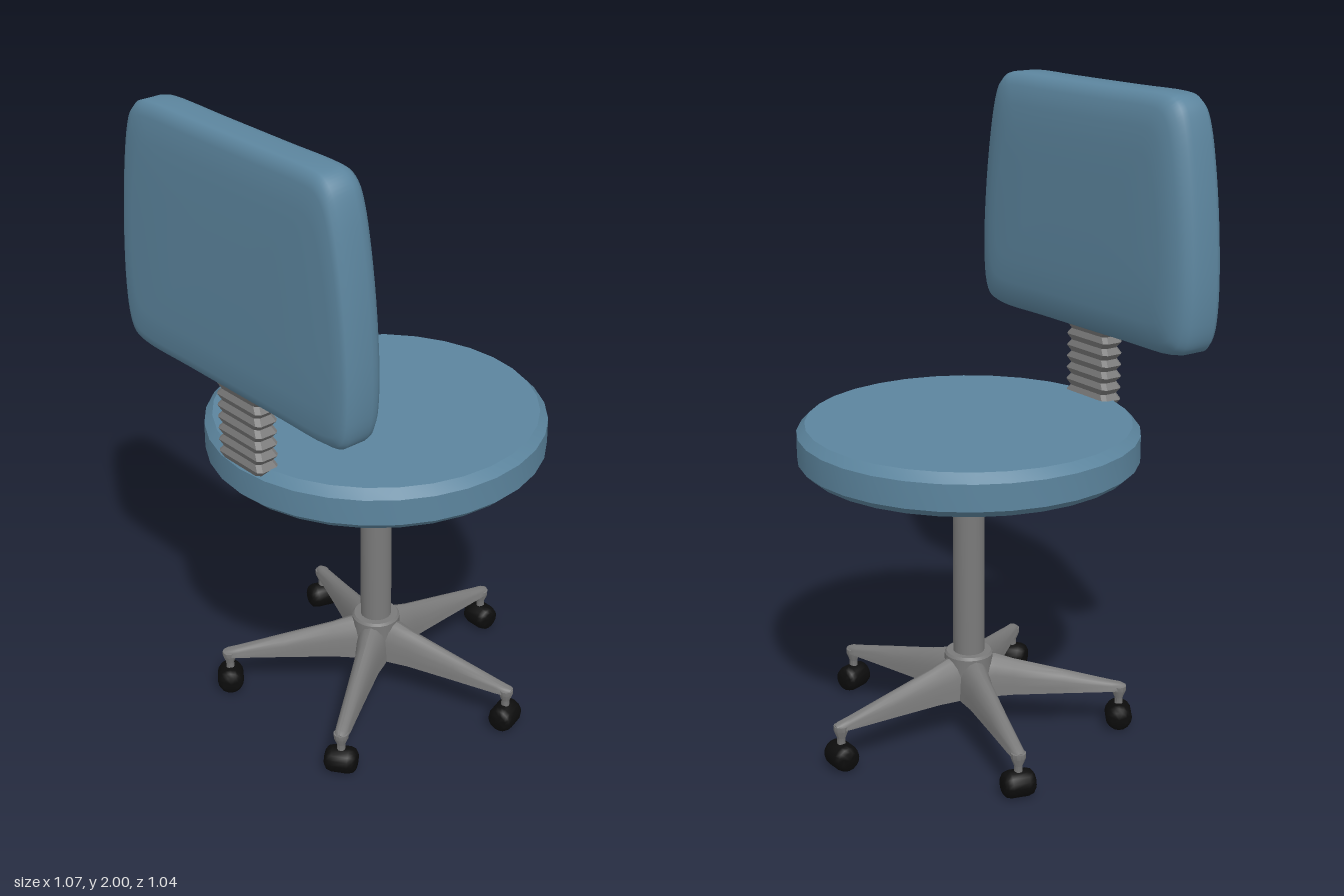
import * as THREE from 'three';
import { toCreasedNormals } from 'three/addons/utils/BufferGeometryUtils.js';

const fabric = new THREE.MeshStandardMaterial({ name: 'blue upholstery', color: 0x5c859e });
const metal = new THREE.MeshStandardMaterial({ name: 'grey metal', color: 0x7a7a7a });
const rubber = new THREE.MeshStandardMaterial({ name: 'black rubber', color: 0x0c0c0c });

const AXIS_X = 0.013; // centre line of the column and seat

function part(name, geometry, material, parent, x = 0, y = 0, z = 0) {
  const mesh = new THREE.Mesh(geometry, material);
  mesh.name = name;
  mesh.position.set(x, y, z);
  parent.add(mesh);
  return mesh;
}

// Skin equal-length rings of [x, y, z] points and close both ends.
function loft(rings, crease) {
  const n = rings[0].length;
  const points = rings.flat();
  const faces = [];
  for (let r = 0; r < rings.length - 1; r++) {
    for (let i = 0; i < n; i++) {
      const a = r * n + i, b = r * n + (i + 1) % n;
      faces.push([a, b, b + n], [a, b + n, a + n]);
    }
  }
  [0, rings.length - 1].forEach((r, end) => {
    const centre = [0, 1, 2].map((k) => rings[r].reduce((s, p) => s + p[k], 0) / n);
    const c = points.push(centre) - 1;
    for (let i = 0; i < n; i++) {
      const a = r * n + i, b = r * n + (i + 1) % n;
      faces.push(end ? [a, b, c] : [b, a, c]);
    }
  });
  // Turn the skin outward if its signed volume is negative
  const v = points.map((p) => new THREE.Vector3(...p));
  const volume = faces.reduce((s, [a, b, c]) => s + v[a].dot(v[b].clone().cross(v[c])), 0);
  if (volume < 0) faces.forEach((f) => f.reverse());
  const geometry = new THREE.BufferGeometry();
  geometry.setAttribute('position', new THREE.Float32BufferAttribute(points.flat(), 3));
  geometry.setIndex(faces.flat());
  return toCreasedNormals(geometry, crease);
}

// Turned profile of [radius, y] pairs with crisp bevels.
function turned(profile, sides, crease = 0.5) {
  const lathe = new THREE.LatheGeometry(profile.map(([r, y]) => new THREE.Vector2(r, y)), sides);
  return toCreasedNormals(lathe, crease);
}

function backrestGeometry() {
  // Half outline as [z, y], from the bottom centre to the top centre
  const half = [[0.2, 1.24], [0.42, 1.242], [0.47, 1.258], [0.492, 1.295], [0.505, 1.4], [0.497, 1.6],
    [0.472, 1.8], [0.446, 1.92], [0.425, 1.967], [0.395, 1.992], [0.35, 2.0], [0.15, 2.0]];
  const outline = [...half, ...half.slice().reverse().map(([z, y]) => [-z, y])];
  const curve = new THREE.CatmullRomCurve3(outline.map(([z, y]) => new THREE.Vector3(0, y, z)), true);
  const edge = curve.getPoints(96).slice(0, 96);
  // Cushion sections from back to front: [x, width scale, height scale]
  const sections = [[-0.535, 0.5, 0.4], [-0.534, 0.88, 0.7], [-0.53, 0.96, 0.9], [-0.523, 0.99, 0.97],
    [-0.508, 1, 1], [-0.44, 1, 1], [-0.42, 0.99, 0.992], [-0.402, 0.965, 0.965],
    [-0.389, 0.92, 0.9], [-0.38, 0.85, 0.75], [-0.376, 0.78, 0.55], [-0.375, 0.5, 0.3]];
  return loft(sections.map(([x, w, h]) => edge.map((p) => [x, 1.62 + (p.y - 1.62) * h, p.z * w])), 1.0);
}

function bellowsGeometry() {
  const rings = [];
  const ridges = 7, y0 = 1.0, y1 = 1.26;
  for (let i = 0; i <= ridges * 2; i++) {
    const out = i % 2;
    const hx = out ? 0.038 : 0.031, hz = out ? 0.1 : 0.084, c = 0.012;
    const y = y0 + (y1 - y0) * i / (ridges * 2);
    const corners = [[hx, hz - c], [hx - c, hz], [c - hx, hz], [-hx, hz - c],
      [-hx, c - hz], [c - hx, -hz], [hx - c, -hz], [hx, c - hz]];
    rings.push(corners.map(([x, z]) => [x, y, z]));
  }
  return loft(rings, 0.3);
}

function legGeometry() {
  // Tapering arch sections: [distance, half width, bottom, top]
  const sections = [[0.03, 0.056, 0.131, 0.262], [0.085, 0.05, 0.131, 0.255], [0.14, 0.04, 0.131, 0.238],
    [0.3, 0.031, 0.132, 0.2], [0.45, 0.024, 0.133, 0.163], [0.48, 0.021, 0.134, 0.157], [0.495, 0.011, 0.137, 0.15]];
  return loft(sections.map(([x, w, low, high]) => {
    const ring = [[x, low, -w], [x, low, w]];
    for (let i = 0; i <= 8; i++) {
      const a = Math.PI * i / 8;
      ring.push([x, low + (high - low) * (0.25 + 0.75 * Math.sin(a)), w * 0.95 * Math.cos(a)]);
    }
    return ring;
  }), 0.7);
}

export function createModel() {
  const chair = new THREE.Group();
  chair.name = 'swivelChair';

  // Upholstery
  part('seat', turned([[0, 0.89], [0.497, 0.89], [0.52, 0.912], [0.52, 0.993], [0.495, 1.02], [0, 1.02]], 32),
    fabric, chair, AXIS_X);
  part('backrest', backrestGeometry(), fabric, chair);
  part('backrestBellows', bellowsGeometry(), metal, chair, -0.473);

  // Gas column
  part('column', turned([[0, 0.2], [0.049, 0.2], [0.049, 0.81], [0.026, 0.81], [0.026, 0.842],
    [0.048, 0.842], [0.085, 0.88], [0.085, 0.892], [0, 0.892]], 24), metal, chair, AXIS_X);

  // Five-star base
  const base = new THREE.Group();
  base.name = 'base';
  base.position.x = AXIS_X;
  chair.add(base);
  part('hub', turned([[0, 0.13], [0.076, 0.13], [0.076, 0.262], [0.07, 0.27], [0, 0.27]], 24), metal, base);

  const leg = legGeometry();
  const stem = turned([[0, 0.07], [0.013, 0.07], [0.013, 0.105], [0.023, 0.13], [0.023, 0.145], [0, 0.152]], 12);
  const wheel = turned([[0, -0.049], [0.026, -0.049], [0.037, -0.041], [0.042, -0.026],
    [0.042, 0.026], [0.037, 0.041], [0.026, 0.049], [0, 0.049]], 16, 0.8);
  wheel.rotateX(Math.PI / 2);
  for (let i = 0; i < 5; i++) {
    const arm = new THREE.Group();
    arm.name = 'baseArm';
    arm.rotation.y = i * Math.PI * 2 / 5;
    base.add(arm);
    part('leg', leg, metal, arm);
    part('casterStem', stem, metal, arm, 0.475);
    part('casterWheel', wheel, rubber, arm, 0.475, 0.046, 0);
  }

  // Rest the casters on the ground
  chair.children.forEach((c) => { c.position.y -= c === base ? 0.004 : 0; });
  return chair;
}
